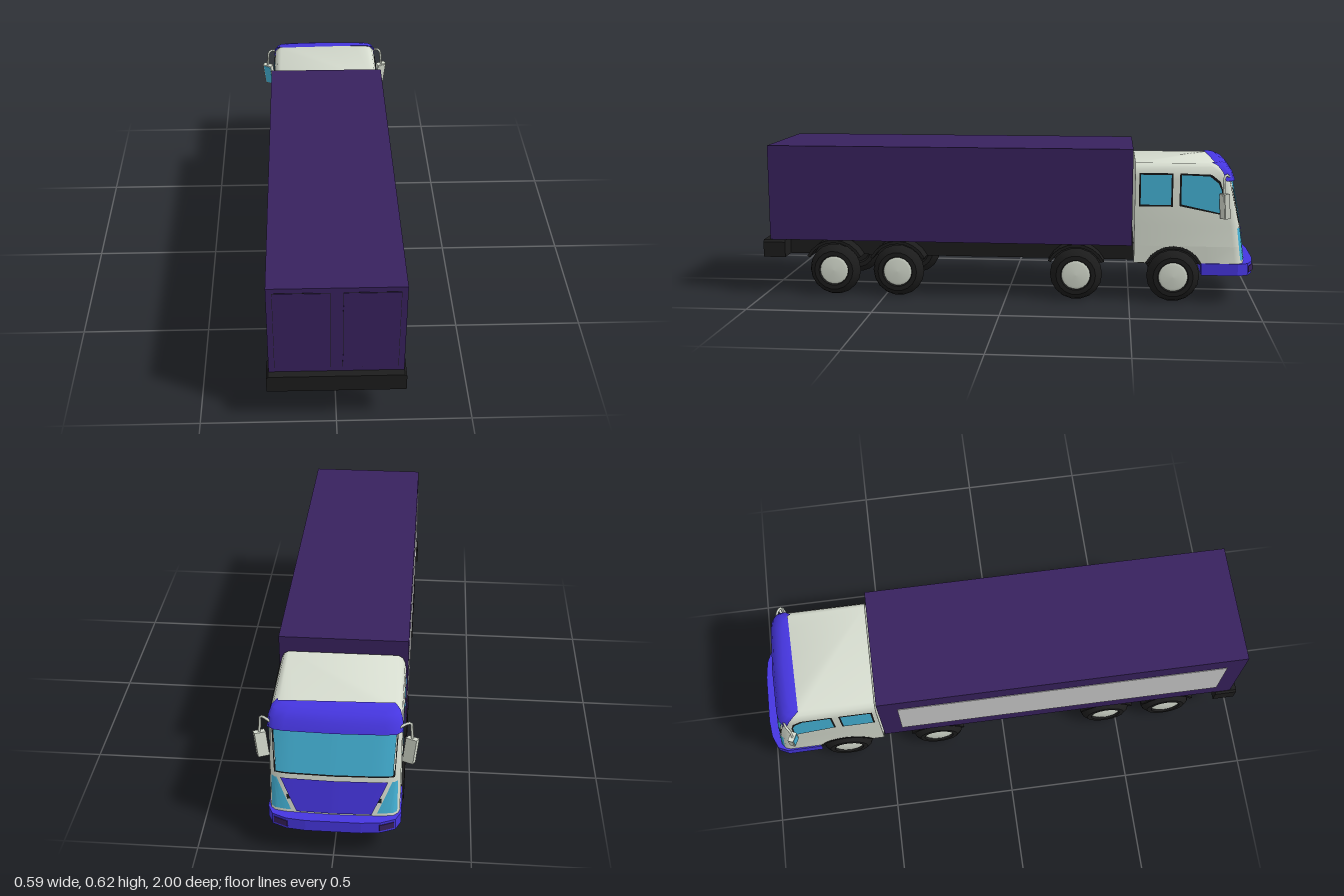
import * as THREE from 'three';
import { toCreasedNormals } from 'three/addons/utils/BufferGeometryUtils.js';

const mat = (color, side = THREE.FrontSide) => new THREE.MeshStandardMaterial({ color, side });
const WHITE = mat(0xd6dccf), BLUE = mat(0x4636e0), PURPLE = mat(0x38225e), BLACK = mat(0x1c1c1c);
const GLASS = mat(0x45b4d8, THREE.DoubleSide), TRIM = mat(0x151515, THREE.DoubleSide), PANEL = mat(0xcccccc);
const V = (x, y, z) => new THREE.Vector3(x, y, z);

// Skin between rows of points, optionally closed round and capped
function loft(rows, closed = true) {
  const pos = [], n = rows[0].length;
  const tri = (...ps) => ps.forEach(p => pos.push(p.x, p.y, p.z));
  for (let r = 0; r < rows.length - 1; r++) {
    const a = rows[r], b = rows[r + 1];
    for (let i = 0; i < (closed ? n : n - 1); i++) {
      const j = (i + 1) % n;
      tri(a[i], a[j], b[j]);
      tri(a[i], b[j], b[i]);
    }
  }
  if (closed) {
    const lo = rows[0], hi = rows[rows.length - 1];
    for (let i = 1; i < n - 1; i++) {
      tri(lo[0], lo[i + 1], lo[i]);
      tri(hi[0], hi[i], hi[i + 1]);
    }
  }
  const g = new THREE.BufferGeometry();
  g.setAttribute('position', new THREE.Float32BufferAttribute(pos, 3));
  g.computeVertexNormals();
  return toCreasedNormals(g, 0.7);
}

// Nose curve in plan: [inset from the side, setback from the nose]
const CORNER = [[0, 0.045], [0.006, 0.026], [0.022, 0.012], [0.06, 0.005]];
function ring(y, w, front, back) {
  const half = [[w, back], ...CORNER.map(([i, s]) => [w - i, front + s])];
  const pts = half.map(([x, z]) => V(x, y, z));
  pts.push(V(0, y, front));
  half.reverse().forEach(([x, z]) => pts.push(V(-x, y, z)));
  return pts;
}

// Slope of the cab nose
const NOSE = [[0.165, -0.962], [0.32, -0.942], [0.505, -0.905], [0.545, -0.885], [0.565, -0.85]];
function noseZ(y) {
  for (let i = 1; i < NOSE.length; i++) {
    const [y0, z0] = NOSE[i - 1], [y1, z1] = NOSE[i];
    if (y <= y1) return THREE.MathUtils.mapLinear(y, y0, y1, z0, z1);
  }
  return NOSE[NOSE.length - 1][1];
}
function setback(x) {
  const inset = 0.235 - Math.abs(x);
  for (let i = 1; i < CORNER.length; i++) {
    const [i0, s0] = CORNER[i - 1], [i1, s1] = CORNER[i];
    if (inset <= i1) return THREE.MathUtils.mapLinear(inset, i0, i1, s0, s1);
  }
  return 0.005 * Math.abs(x) / 0.175;
}
// Thin panel lying on the nose; each edge is [y, x from, x to]
function nosePatch(bottom, top, out) {
  const rows = [0, 0.5, 1].map(t => {
    const [y, xa, xb] = bottom.map((v, k) => THREE.MathUtils.lerp(v, top[k], t));
    return Array.from({ length: 17 }, (_, i) => {
      const x = THREE.MathUtils.lerp(xb, xa, i / 16);
      return V(x, y, noseZ(y) + setback(x) - out);
    });
  });
  return loft(rows, false);
}

// Outline in (-z, y), turned to face sideways
const sideShape = pts => new THREE.Shape(pts.map(([z, y]) => new THREE.Vector2(-z, y)));

export function createModel() {
  const truck = new THREE.Group();
  const add = (name, geo, material, x = 0, y = 0, z = 0, parent = truck) => {
    const m = new THREE.Mesh(geo, material);
    m.name = name;
    m.position.set(x, y, z);
    parent.add(m);
    return m;
  };
  const box = (name, material, [x0, x1], [y0, y1], [z0, z1]) =>
    add(name, new THREE.BoxGeometry(x1 - x0, y1 - y0, z1 - z0), material, (x0 + x1) / 2, (y0 + y1) / 2, (z0 + z1) / 2);

  // Cargo body, rear doors and side panel
  box('cargoBox', PURPLE, [-0.243, 0.243], [0.235, 0.623], [-0.508, 0.973]);
  for (const s of [-1, 1]) {
    box('doorSeam', BLACK, [s * 0.122 - 0.1, s * 0.122 + 0.1], [0.255, 0.603], [0.97, 0.974]);
    box('rearDoor', PURPLE, [s * 0.122 - 0.0985, s * 0.122 + 0.0985], [0.2565, 0.6015], [0.97, 0.9755]);
  }
  box('sidePanel', PANEL, [-0.2455, -0.24], [0.305, 0.547], [-0.43, 0.9]);

  // Chassis and rear bumper
  box('chassis', BLACK, [-0.167, 0.167], [0.163, 0.235], [-0.8, 0.95]);
  const rear = new THREE.Shape([[-0.252, 0.163], [0.252, 0.163], [0.252, 0.225], [0.244, 0.234], [-0.244, 0.234], [-0.252, 0.225]]
    .map(p => new THREE.Vector2(...p)));
  add('rearBumper', new THREE.ExtrudeGeometry(rear, { depth: 0.09, bevelEnabled: false }), BLACK, 0, 0, 0.91);
  box('cabFloor', BLACK, [-0.17, 0.17], [0.15, 0.24], [-0.95, -0.53]);

  // Wheels, axles and mudguards
  const tyre = new THREE.LatheGeometry([[0, -0.028], [0.055, -0.028], [0.062, -0.035], [0.08, -0.035], [0.098, -0.02], [0.106, 0],
    [0.098, 0.02], [0.08, 0.035], [0.062, 0.035], [0.058, 0.026]].map(p => new THREE.Vector2(...p)), 18);
  const hub = new THREE.LatheGeometry([[0.059, 0.026], [0.048, 0.031], [0, 0.033]].map(p => new THREE.Vector2(...p)), 18);
  const tyreGeo = toCreasedNormals(tyre, 0.6);
  const guard = new THREE.Shape();
  const a0 = 0.47, a1 = Math.PI - a0;
  guard.absarc(0, 0, 0.126, a0, a1, false);
  guard.absarc(0, 0, 0.114, a1, a0, true);
  const guardGeo = new THREE.ExtrudeGeometry(guard, { depth: 0.07, bevelEnabled: false, curveSegments: 4 }).rotateY(Math.PI / 2);
  for (const z of [0.71, 0.445, -0.285, -0.675]) {
    add('axle', new THREE.CylinderGeometry(0.027, 0.027, 0.37, 12).rotateZ(Math.PI / 2), BLACK, 0, 0.11, z);
    for (const s of [-1, 1]) {
      const wheel = new THREE.Group();
      wheel.name = 'wheel';
      wheel.position.set(s * 0.21, 0.109, z);
      wheel.rotation.z = -s * Math.PI / 2;
      add('tyre', tyreGeo, BLACK, 0, 0, 0, wheel);
      add('hub', hub, WHITE, 0, 0, 0, wheel);
      truck.add(wheel);
      add('mudguard', guardGeo, BLACK, s > 0 ? 0.166 : -0.236, 0.109, z);
    }
  }

  // Cab shell above the arches, and the lower nose
  const B = -0.517;
  add('cabBody', loft([[0.235, 0.235], [0.32, 0.235], [0.505, 0.235], [0.535, 0.232], [0.556, 0.222], [0.566, 0.205]]
    .map(([y, w]) => ring(y, w, noseZ(y), B))), WHITE);
  add('lowerNose', loft([0.165, 0.235].map(y => ring(y, 0.235, noseZ(y), -0.8))), WHITE);

  // Cab skirts with wheel arch
  const skirt = sideShape([[B, 0.236], [B, 0.165], [-0.563, 0.165]]);
  skirt.absarc(0.675, 0.109, 0.125, Math.PI - 0.465, 0.465, true);
  skirt.lineTo(0.802, 0.165);
  skirt.lineTo(0.802, 0.236);
  const skirtGeo = new THREE.ExtrudeGeometry(skirt, { depth: 0.065, bevelEnabled: false, curveSegments: 8 }).rotateY(Math.PI / 2);
  for (const s of [-1, 1]) add('cabSkirt', skirtGeo, WHITE, s > 0 ? 0.17 : -0.235);

  // Roof visor
  add('roofVisor', loft([ring(0.5, 0.238, -0.918, -0.892), ring(0.535, 0.236, -0.905, -0.865),
    ring(0.56, 0.226, -0.885, -0.84), ring(0.571, 0.208, -0.862, -0.83)]), BLUE);

  // Windscreen, front panel and corner lamps
  add('windscreenSeal', nosePatch([0.328, -0.215, 0.215], [0.502, -0.223, 0.223], 0.002), TRIM);
  add('windscreen', nosePatch([0.335, -0.208, 0.208], [0.5, -0.217, 0.217], 0.004), GLASS);
  add('frontPanel', nosePatch([0.175, -0.135, 0.135], [0.312, -0.192, 0.192], 0.005), BLUE);
  add('cornerLamp', nosePatch([0.18, 0.155, 0.226], [0.31, 0.206, 0.226], 0.003), GLASS);
  add('cornerLamp', nosePatch([0.18, -0.226, -0.155], [0.31, -0.226, -0.206], 0.003), GLASS);

  // Side windows with dark seals
  const windows = [
    [[-0.54, 0.402], [-0.66, 0.402], [-0.66, 0.522], [-0.54, 0.522]],
    [[-0.7, 0.405], [-0.862, 0.37], [-0.858, 0.46], [-0.845, 0.49], [-0.81, 0.518], [-0.7, 0.522]],
  ];
  for (const pts of windows) {
    const cz = pts.reduce((t, p) => t + p[0], 0) / pts.length, cy = pts.reduce((t, p) => t + p[1], 0) / pts.length;
    const seal = pts.map(([z, y]) => [z + Math.sign(z - cz) * 0.007, y + Math.sign(y - cy) * 0.007]);
    for (const s of [-1, 1]) {
      add('windowSeal', new THREE.ShapeGeometry(sideShape(seal)).rotateY(Math.PI / 2), TRIM, s * 0.2365);
      add('sideWindow', new THREE.ShapeGeometry(sideShape(pts)).rotateY(Math.PI / 2), GLASS, s * 0.238);
    }
  }

  // Wraparound front bumper with dark lamps
  const outer = [[0.24, 0.785], [0.241, 0.93], [0.222, 0.97], [0.17, 0.992], [0.1, 1]];
  const inner = [[0.08, 0.955], [0.16, 0.95], [0.2, 0.93], [0.215, 0.91], [0.215, 0.785]];
  const halfLoop = [...outer, ...outer.map(([x, z]) => [-x, z]).reverse(),
    ...inner.map(([x, z]) => [-x, z]), ...inner.slice().reverse()];
  const bumper = new THREE.Shape(halfLoop.map(p => new THREE.Vector2(...p)));
  add('frontBumper', new THREE.ExtrudeGeometry(bumper, { depth: 0.048, bevelEnabled: false }).rotateX(-Math.PI / 2), BLUE, 0, 0.119);
  for (const s of [-1, 1]) {
    const lamp = add('bumperLamp', new THREE.BoxGeometry(0.055, 0.026, 0.006), PURPLE, s * 0.19, 0.143, -0.983);
    lamp.rotation.y = -s * Math.atan2(0.022, 0.052);
  }

  // Door mirrors on bent arms
  for (const s of [-1, 1]) {
    const arm = new THREE.CatmullRomCurve3([V(s * 0.225, 0.515, -0.885), V(s * 0.25, 0.526, -0.875), V(s * 0.264, 0.52, -0.865),
      V(s * 0.268, 0.49, -0.862), V(s * 0.272, 0.445, -0.865)]);
    add('mirrorArm', new THREE.TubeGeometry(arm, 12, 0.005, 6), WHITE);
    const mirror = new THREE.Group();
    mirror.name = 'mirror';
    mirror.position.set(s * 0.266, 0.405, -0.868);
    mirror.rotation.set(0.12, s * 0.45, 0);
    const slanted = (w, h, d) => {
      const g = new THREE.BoxGeometry(w, h, d), p = g.attributes.position;
      for (let i = 0; i < p.count; i++) p.setX(i, p.getX(i) + s * p.getY(i) * 0.12);
      g.computeVertexNormals();
      return g;
    };
    add('mirrorHousing', slanted(0.042, 0.1, 0.022), WHITE, 0, 0, 0, mirror);
    add('mirrorGlass', slanted(0.033, 0.09, 0.003), s < 0 ? GLASS : WHITE, 0, 0, 0.011, mirror);
    truck.add(mirror);
  }
  return truck;
}
